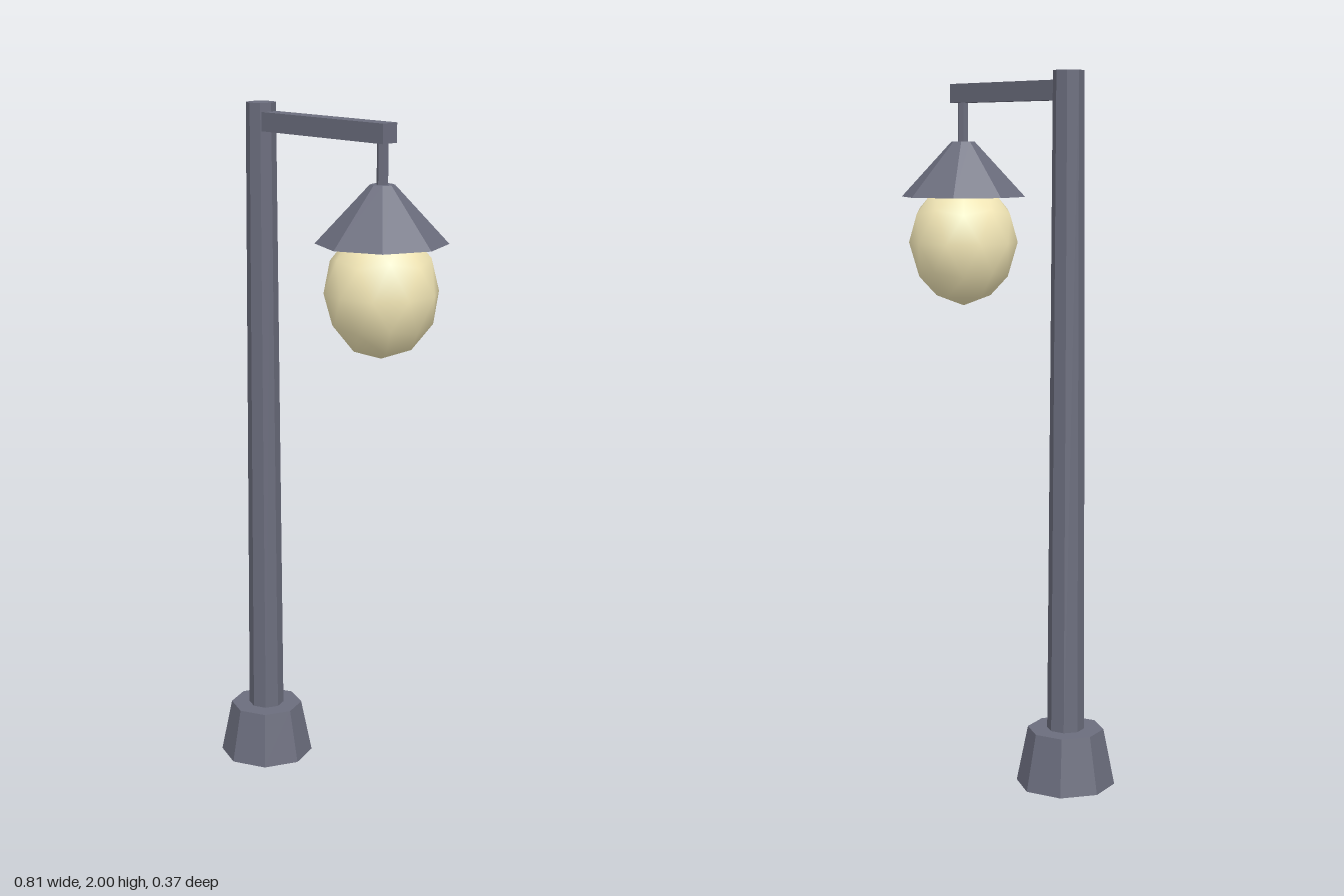
import * as THREE from 'three';

const metal = new THREE.MeshStandardMaterial({ color: 0x6b6d7d, flatShading: true });
const glow = new THREE.MeshStandardMaterial({ color: 0xf5e9b8 });

const POLE_X = -0.265;
const LAMP_X = 0.22;

export function createModel() {
  const model = new THREE.Group();
  model.name = 'streetLamp';

  const add = (name, geometry, material, x, y) => {
    const mesh = new THREE.Mesh(geometry, material);
    mesh.name = name;
    mesh.position.set(x, y, 0);
    model.add(mesh);
  };

  // Tapered prism standing between two heights
  const prism = (name, x, y0, y1, rBottom, rTop, sides = 8) =>
    add(name, new THREE.CylinderGeometry(rTop, rBottom, y1 - y0, sides), metal, x, (y0 + y1) / 2);

  // Foot and post
  prism('base', POLE_X, 0, 0.16, 0.14, 0.108);
  prism('pole', POLE_X, 0.1, 2, 0.053, 0.043);

  // Arm running from inside the post to the lamp
  const armEnd = 0.247;
  add('arm', new THREE.BoxGeometry(armEnd - POLE_X, 0.054, 0.054), metal, (armEnd + POLE_X) / 2, 1.948);

  // Hanging rod and conical shade
  prism('hanger', LAMP_X, 1.78, 1.93, 0.016, 0.016, 6);
  prism('shade', LAMP_X, 1.65, 1.81, 0.183, 0.034);

  // Smooth egg-shaped globe, turned so a corner points straight down
  const globe = new THREE.IcosahedronGeometry(1, 1);
  globe.rotateZ(-Math.atan2(2, 1 + Math.sqrt(5)));
  globe.scale(0.16, 0.186, 0.16);
  add('globe', globe, glow, LAMP_X, 1.517);

  return model;
}
